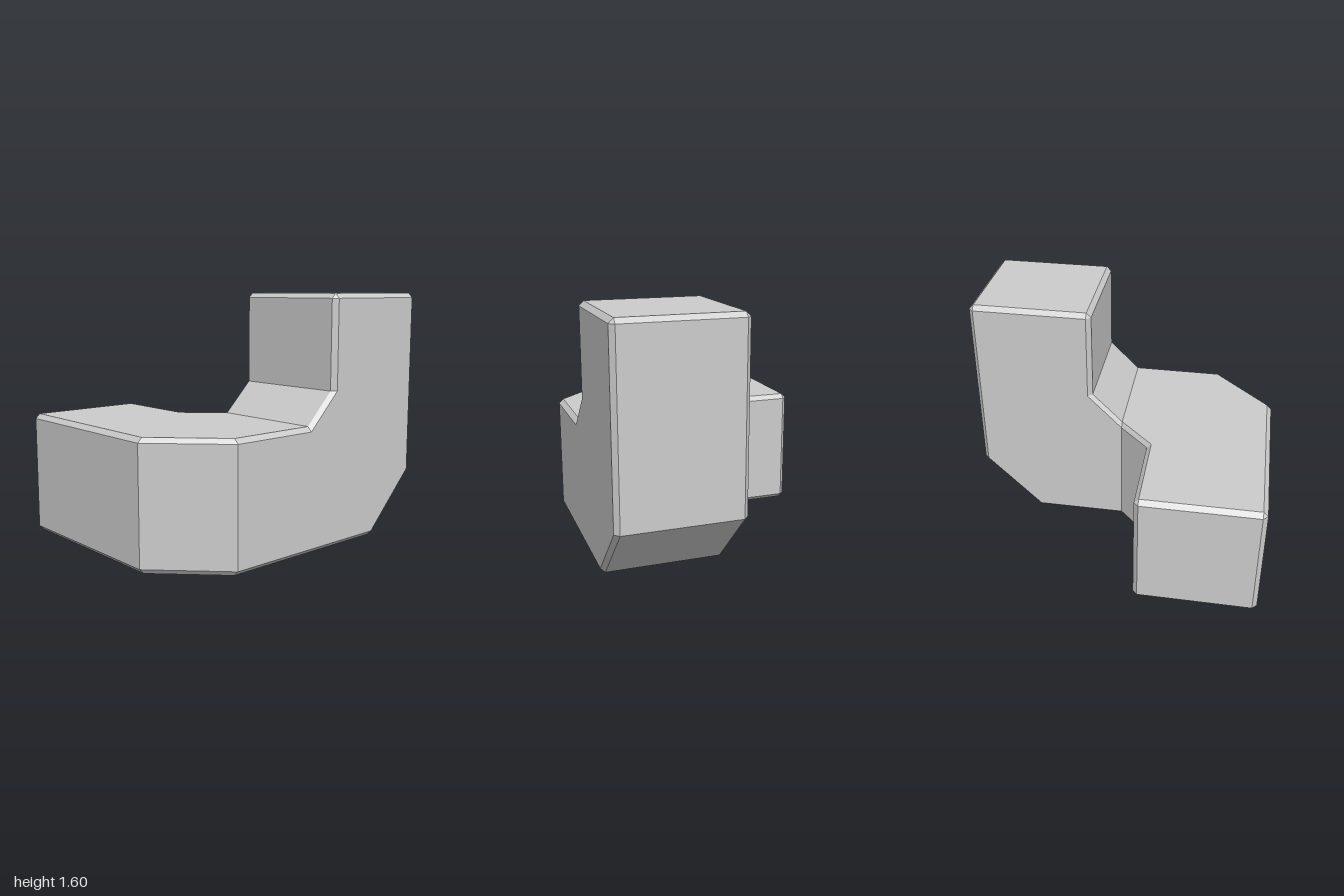
import * as THREE from 'three';

const BEVEL = 0.03;
const V = (x, y, z) => new THREE.Vector3(x, y, z);

// Each section: corners outer-bottom, outer-top, inner-top, inner-bottom,
// u = direction outer -> inner, v = direction bottom -> top.
const endX = (x) => ({ c: [V(x, 0, 1), V(x, 0.8, 1), V(x, 0.8, 0.2), V(x, 0, 0.2)], u: V(0, 0, -1), v: V(0, 1, 0) });
const endY = (y) => ({ c: [V(0.8, y, -1), V(0.8, y, -0.2), V(0, y, -0.2), V(0, y, -1)], u: V(-1, 0, 0), v: V(0, 0, 1) });

const sections = [
  { ...endX(-0.8), cap: true },
  endX(-0.8 + BEVEL),
  // sideways bend
  { c: [V(0.4, 0, 1), V(0.4, 0.8, 1), V(-0.2, 0.8, 0.2), V(-0.2, 0, 0.2)], u: V(0, 0, -1), v: V(0, 1, 0) },
  { c: [V(0.8, 0, 0.6), V(0.8, 0.8, 0.6), V(0, 0.8, 0), V(0, 0, 0)], u: V(-1, 0, 0), v: V(0, 1, 0) },
  // upward bend
  { c: [V(0.8, 0, -0.6), V(0.8, 0.8, 0), V(0, 0.8, 0), V(0, 0, -0.6)], u: V(-1, 0, 0), v: V(0, 1, 0) },
  { c: [V(0.8, 0.4, -1), V(0.8, 1, -0.2), V(0, 1, -0.2), V(0, 0.4, -1)], u: V(-1, 0, 0), v: V(0, 0, 1) },
  endY(1.6 - BEVEL),
  { ...endY(1.6), cap: true },
];

// Eight-point ring with chamfered corners; a cap ring is a smaller plain square
function ring({ c, u, v, cap }) {
  const signs = [[1, 1], [1, -1], [-1, -1], [-1, 1]];
  return c.flatMap((p, i) => {
    const [su, sv] = signs[i];
    const alongU = p.clone().addScaledVector(u, su * BEVEL);
    const alongV = p.clone().addScaledVector(v, sv * BEVEL);
    if (cap) {
      const q = alongU.clone().addScaledVector(v, sv * BEVEL);
      return [q, q];
    }
    return i % 2 === 0 ? [alongU, alongV] : [alongV, alongU];
  });
}

function buildElbow() {
  const rings = sections.map(ring);
  const positions = [];
  const tri = (a, b, c) => {
    const area = b.clone().sub(a).cross(c.clone().sub(a)).length();
    if (area > 1e-7) for (const p of [a, b, c]) positions.push(p.x, p.y, p.z);
  };
  const quad = (a, b, c, d) => { tri(a, b, c); tri(a, c, d); };

  // walls and bevels between neighbouring rings
  for (let i = 0; i < rings.length - 1; i++) {
    const r = rings[i], s = rings[i + 1];
    for (let k = 0; k < 8; k++) {
      const n = (k + 1) % 8;
      quad(r[k], s[k], s[n], r[n]);
    }
  }
  // end faces
  const a = rings[0], b = rings[rings.length - 1];
  quad(a[0], a[2], a[4], a[6]);
  quad(b[6], b[4], b[2], b[0]);

  const geometry = new THREE.BufferGeometry();
  geometry.setAttribute('position', new THREE.Float32BufferAttribute(positions, 3));
  geometry.computeVertexNormals();
  return geometry;
}

export function createModel() {
  const group = new THREE.Group();
  group.name = 'doubleElbowBlock';
  const mesh = new THREE.Mesh(
    buildElbow(),
    new THREE.MeshStandardMaterial({ color: 0xcccccc, flatShading: true })
  );
  mesh.name = 'bentSquareBar';
  group.add(mesh);
  return group;
}
